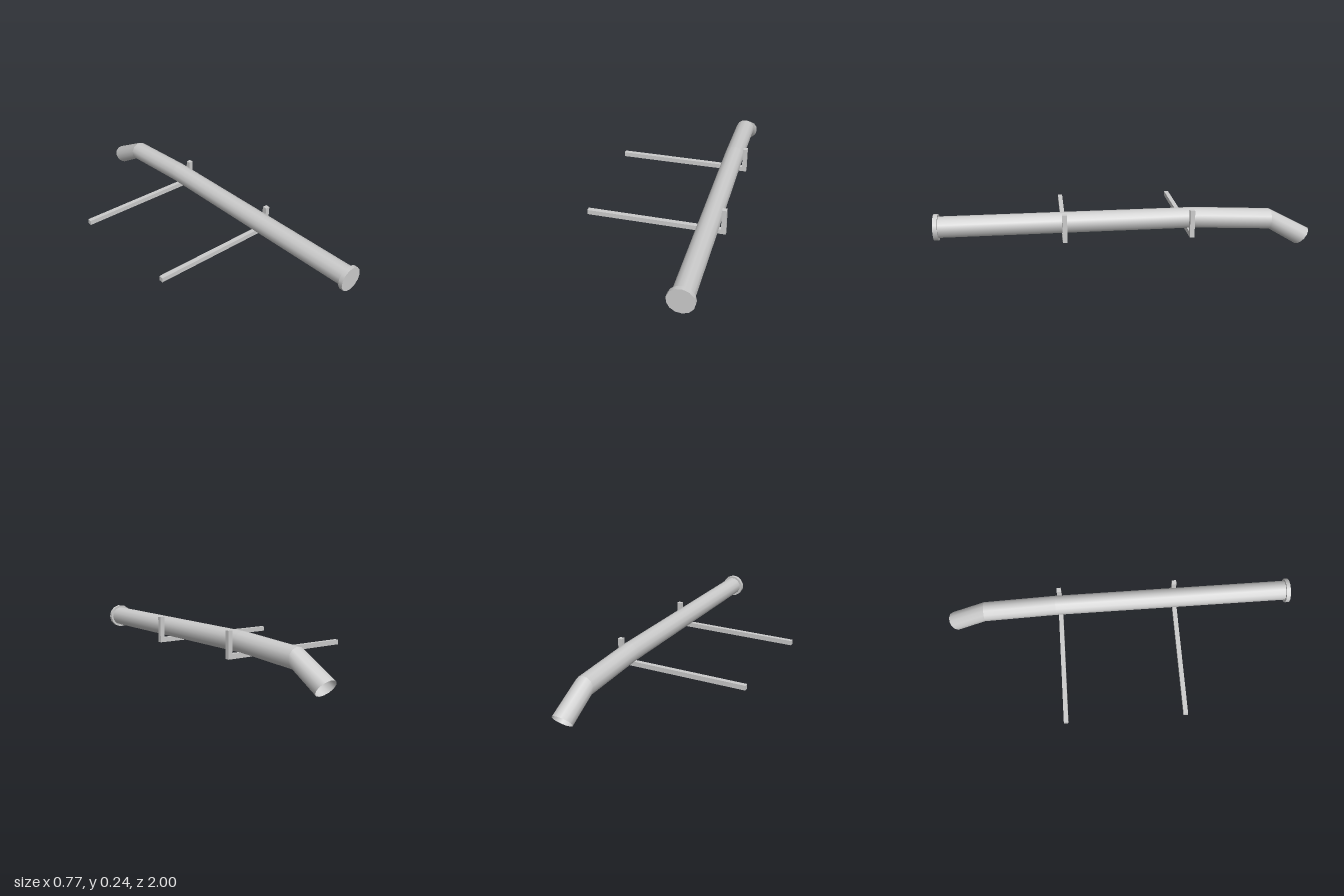
import * as THREE from 'three';

const SIDES = 13;
const PIPE_X = 0.302;
const RADIUS = 0.056;

// Pipe stations from front to back: centre (z, y) and the tilted "up" half-axis (uz, uy) of the ring
const STATIONS = [
  { z: 0.98, y: 0.17, uz: 0, uy: RADIUS },
  { z: -0.36, y: 0.17, uz: 0, uy: RADIUS },
  { z: -0.777, y: 0.147, uz: 0, uy: RADIUS },
  { z: -0.965, y: 0.0425, uz: -0.035, uy: 0.043 },
];

// Open tube between two stations, smooth around and creased at the bends
function pipeSection(a, b) {
  const geo = new THREE.CylinderGeometry(1, 1, 2, SIDES, 1, true, Math.PI / 2);
  const pos = geo.attributes.position;
  const nor = geo.attributes.normal;
  const dz = a.z - b.z, dy = a.y - b.y, len = Math.hypot(dz, dy);
  for (let i = 0; i < pos.count; i++) {
    const s = pos.getY(i) > 0 ? a : b;
    const side = pos.getX(i), up = -pos.getZ(i);
    pos.setXYZ(i, side * RADIUS, s.y + up * s.uy, s.z + up * s.uz);
    nor.setXYZ(i, side, up * dz / len, -up * dy / len);
  }
  return geo;
}

export function createModel() {
  const group = new THREE.Group();
  const solid = new THREE.MeshStandardMaterial({ color: 0xcccccc });
  const thin = new THREE.MeshStandardMaterial({ color: 0xcccccc, side: THREE.DoubleSide });

  const add = (parent, name, geo, mat, x, y, z) => {
    const mesh = new THREE.Mesh(geo, mat);
    mesh.name = name;
    mesh.position.set(x, y, z);
    parent.add(mesh);
    return mesh;
  };

  // Pipe with a gentle slope and an open, bent spout at the back
  const pipe = new THREE.Group();
  pipe.name = 'pipe';
  ['straightPipe', 'slopedPipe', 'spout'].forEach((name, i) =>
    add(pipe, name, pipeSection(STATIONS[i], STATIONS[i + 1]), thin, PIPE_X, 0, 0));
  group.add(pipe);

  // End cap closing the front
  const capGeo = new THREE.CylinderGeometry(0.0695, 0.0695, 0.023, SIDES, 1, false, Math.PI / 2);
  capGeo.rotateX(Math.PI / 2);
  add(group, 'endCap', capGeo, solid, 0.3, 0.169, 0.9885);

  // Two L-shaped brackets: long arm under the pipe, short post beside it
  const outline = new THREE.Shape([
    [-0.384, 0.086], [0.383, 0.086], [0.383, 0.233],
    [0.357, 0.233], [0.357, 0.113], [-0.384, 0.113],
  ].map(([x, y]) => new THREE.Vector2(x, y)));
  const depth = 0.025;
  const bracketGeo = new THREE.ExtrudeGeometry(outline, { depth, bevelEnabled: false });
  bracketGeo.translate(0, 0, -depth / 2);
  add(group, 'frontBracket', bracketGeo, solid, 0, 0, 0.333);
  add(group, 'backBracket', bracketGeo, solid, 0, 0, -0.336);

  return group;
}
